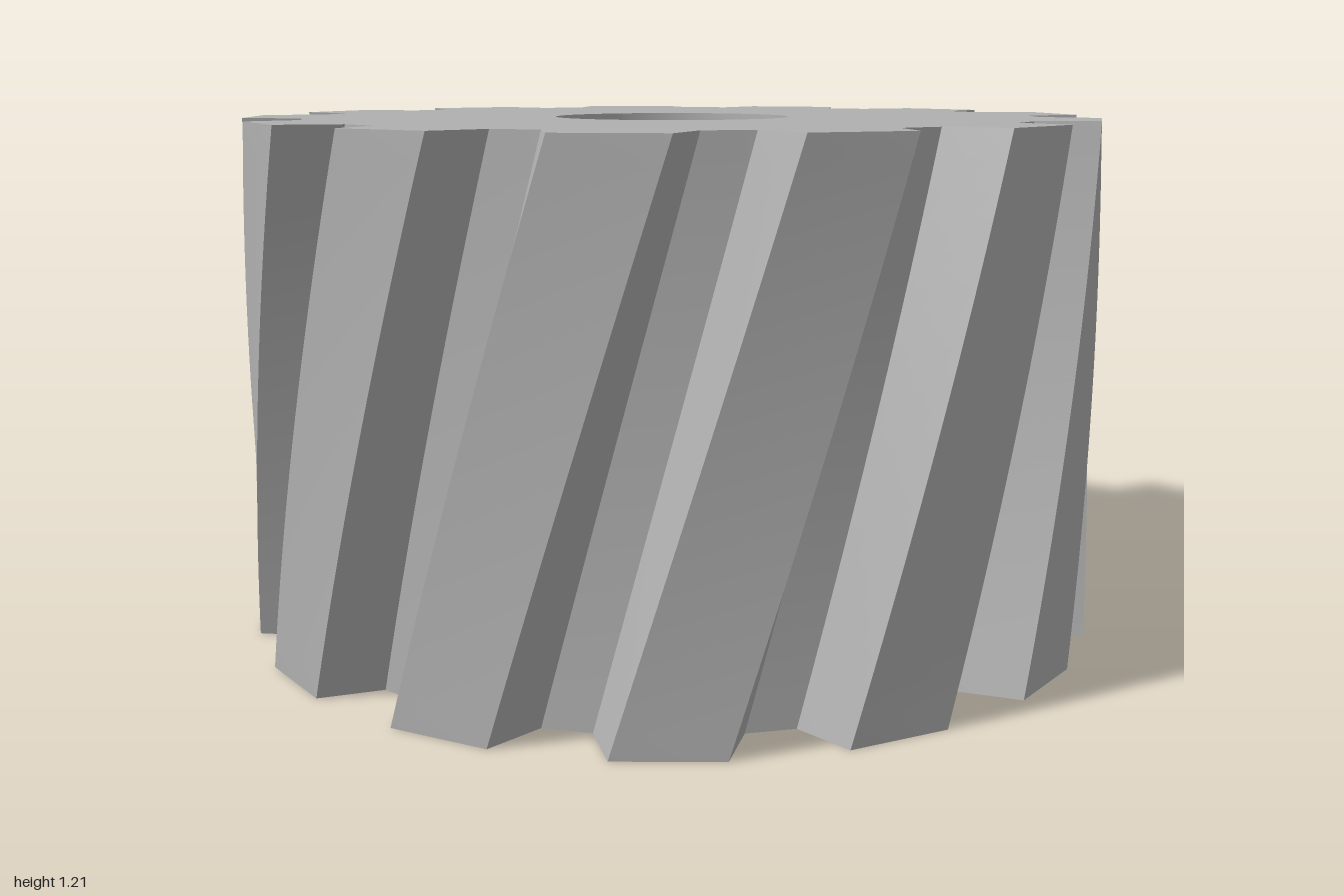
import * as THREE from 'three';
import { toCreasedNormals } from 'three/addons/utils/BufferGeometryUtils.js';

const TEETH = 13;
const HEIGHT = 1.205;
const TIP_RADIUS = 1;
const ROOT_RADIUS = 0.863;
const BORE_RADIUS = 0.275;
const TIP_HALF = 0.1175;   // half angle of a tooth tip
const ROOT_HALF = 0.178;   // half angle of a tooth at its root
const TOP_PHASE = 0.016;   // angle of the front tooth on the top face
const TWIST = 0.375;       // helix turn from bottom to top

// Gear outline with straight tips, flanks and groove floors, plus a round bore
function gearShape() {
  const points = [];
  for (let i = 0; i < TEETH; i++) {
    const mid = (i / TEETH) * Math.PI * 2;
    const corners = [
      [ROOT_RADIUS, -ROOT_HALF], [TIP_RADIUS, -TIP_HALF],
      [TIP_RADIUS, TIP_HALF], [ROOT_RADIUS, ROOT_HALF],
    ];
    for (const [r, a] of corners) {
      points.push(new THREE.Vector2(r * Math.sin(mid + a), -r * Math.cos(mid + a)));
    }
  }
  const shape = new THREE.Shape(points);
  const bore = new THREE.Path();
  bore.absarc(0, 0, BORE_RADIUS, 0, Math.PI * 2, true);
  shape.holes.push(bore);
  return shape;
}

// Turn every vertex about the axis in proportion to its height
function twist(geometry) {
  const pos = geometry.attributes.position;
  const axis = new THREE.Vector3(0, 1, 0);
  const v = new THREE.Vector3();
  for (let i = 0; i < pos.count; i++) {
    v.fromBufferAttribute(pos, i);
    v.applyAxisAngle(axis, TOP_PHASE - TWIST * (1 - v.y / HEIGHT));
    pos.setXYZ(i, v.x, v.y, v.z);
  }
  return geometry;
}

export function createModel() {
  const group = new THREE.Group();
  group.name = 'helicalGear';

  const steel = new THREE.MeshStandardMaterial({ color: 0xb0b0b0 });
  steel.name = 'steel grey';

  // Gear body: extruded upright, then twisted into helical teeth
  const body = new THREE.ExtrudeGeometry(gearShape(), {
    depth: HEIGHT, steps: 20, curveSegments: 64, bevelEnabled: false,
  });
  body.rotateX(-Math.PI / 2);
  const gear = new THREE.Mesh(toCreasedNormals(twist(body), 0.4), steel);
  gear.name = 'gearBody';
  group.add(gear);

  return group;
}
